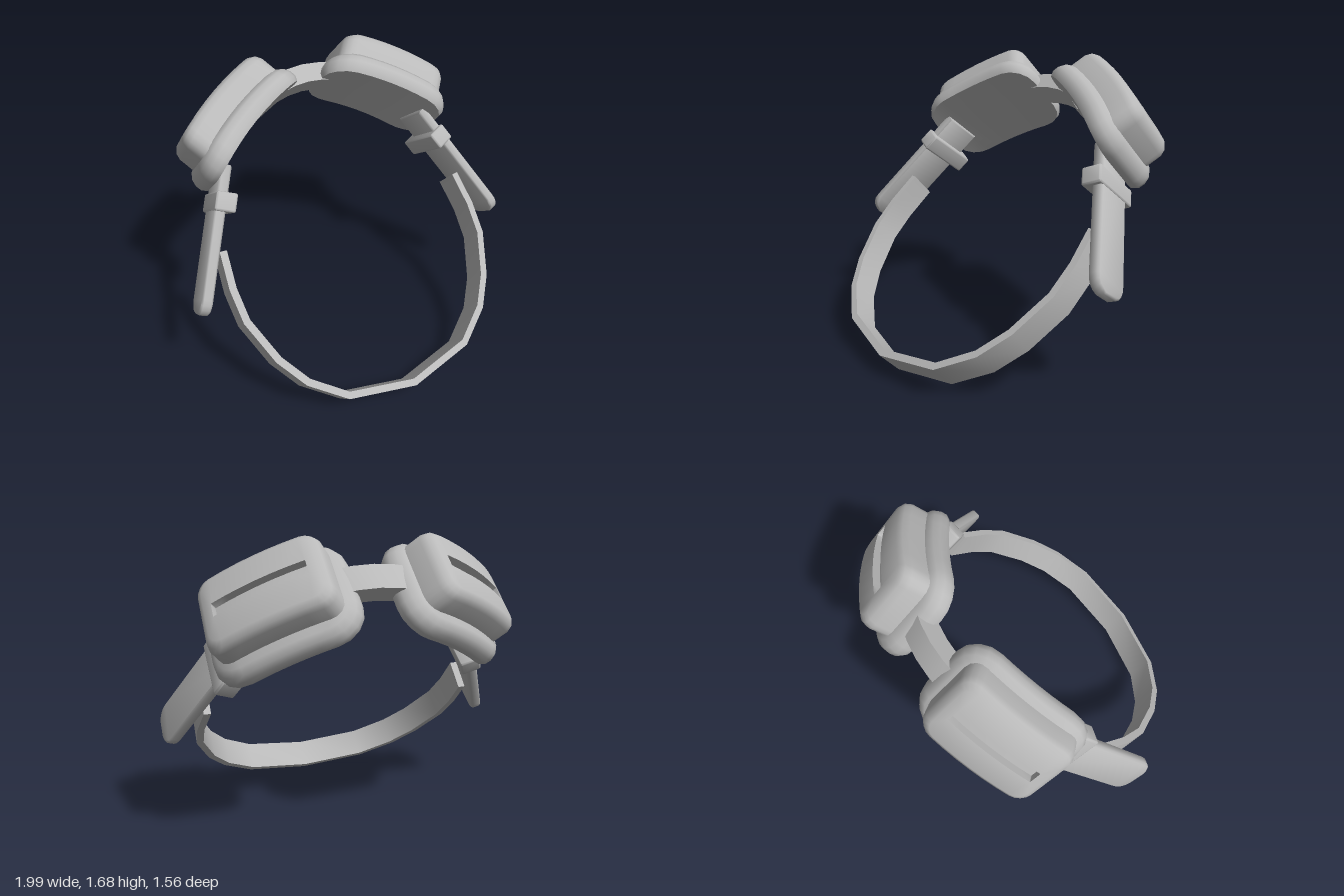
import * as THREE from 'three';
import { toCreasedNormals } from 'three/addons/utils/BufferGeometryUtils.js';
import { RoundedBoxGeometry } from 'three/addons/geometries/RoundedBoxGeometry.js';

const grey = new THREE.MeshStandardMaterial({ color: 0xbababa });
grey.name = 'grey';

const V = (x, y, z) => new THREE.Vector3(x, y, z);

// The headband lies in a tilted plane: x across, a towards the pods, b across the band's width.
const tilted = (x, a, b) => V(x, 0.68 * a + 0.73 * b, 0.68 * b - 0.73 * a);
// The pods lean a little further than the band.
const podTilted = (x, a, b) => V(x, 0.75 * a + 0.66 * b, 0.75 * b - 0.66 * a);

// Skin over a list of closed rings with equal point counts.
function loft(rings) {
  const m = rings[0].length, pos = [], index = [];
  rings.forEach(r => r.forEach(p => pos.push(p.x, p.y, p.z)));
  for (let i = 0; i < rings.length - 1; i++) {
    for (let j = 0; j < m; j++) {
      const k = (j + 1) % m, p = i * m + j, q = i * m + k;
      index.push(p, q, q + m, p, q + m, p + m);
    }
  }
  const g = new THREE.BufferGeometry();
  g.setAttribute('position', new THREE.Float32BufferAttribute(pos, 3));
  g.setIndex(index);
  return g;
}

// Mirrors to the -x side when asked, then sets smooth normals with sharp creases.
function makeMesh(name, geo, side = 1) {
  const g = geo.index ? geo.toNonIndexed() : geo;
  const clean = new THREE.BufferGeometry();
  clean.setAttribute('position', g.attributes.position.clone());
  if (side < 0) {
    const p = clean.attributes.position;
    for (let i = 0; i < p.count; i += 3) {
      const v = [0, 2, 1].map(k => new THREE.Vector3().fromBufferAttribute(p, i + k));
      v.forEach((q, k) => p.setXYZ(i + k, -q.x, q.y, q.z));
    }
  }
  const mesh = new THREE.Mesh(toCreasedNormals(clean, 0.9), grey);
  mesh.name = name;
  return mesh;
}

// Flat band swept along a path of [x, a] points.
function band(path, b, halfW, halfT) {
  const at = path.map(([x, a]) => new THREE.Vector2(x, a));
  const rings = at.map((p, i) => {
    const t = at[Math.min(i + 1, at.length - 1)].clone().sub(at[Math.max(i - 1, 0)]).normalize();
    return [[1, 1], [-1, 1], [-1, -1], [1, -1]].map(([w, o]) =>
      tilted(p.x + t.y * o * halfT, p.y - t.x * o * halfT, b + w * halfW));
  });
  const cap = r => {
    const c = V(0, 0, 0);
    r.forEach(p => c.addScaledVector(p, 0.25));
    return r.map(() => c.clone());
  };
  return loft([cap(rings[0]), ...rings, cap(rings[rings.length - 1])]);
}

// Rounded rectangle ring of a pod, bent around the headband.
function podRing([hw, hl, r, n]) {
  const pts = [], corner = (sx, sy, start) => {
    for (let i = 0; i <= 4; i++) {
      const t = start + i * Math.PI / 8;
      pts.push([sx * (hw - r) + r * Math.cos(t), sy * (hl - r) + r * Math.sin(t)]);
    }
  };
  const edge = s => {
    for (let i = 1; i < 6; i++) pts.push([s * hw, s * (hl - r) * (i / 3 - 1)]);
  };
  corner(1, -1, -Math.PI / 2); edge(1); corner(1, 1, 0);
  corner(-1, 1, Math.PI / 2); edge(-1); corner(-1, -1, Math.PI);
  return pts.map(([w, l]) => V(w, l, n - 0.3 * l * l));
}

function podPart(rings, b) {
  const W = podTilted(0, 0, 1), L = podTilted(0.83, -0.56, 0), N = podTilted(0.56, 0.83, 0);
  const m = new THREE.Matrix4().makeBasis(W, L, N);
  m.setPosition(podTilted(0.83 * -0.338, -0.56 * -0.338, b));
  return loft(rings.map(podRing)).applyMatrix4(m);
}

// Places a geometry in the slanted frame of the side flap (x up its length, y across it, z out).
function onFlap(geo, centre) {
  const D = V(-0.43, 0.74, -0.52).normalize();
  const W = V(0, 0.59, 0.81).normalize();
  const N = D.clone().cross(W).normalize();
  W.crossVectors(N, D);
  return geo.applyMatrix4(new THREE.Matrix4().makeBasis(D, W, N).setPosition(centre));
}

function flapGeometry() {
  const s = new THREE.Shape(), h = 0.115, len = 0.79;
  s.moveTo(len, -h);
  s.lineTo(len, h);
  s.lineTo(0.08, h);
  s.quadraticCurveTo(0.015, h, 0, 0.05);
  s.lineTo(0, -0.05);
  s.quadraticCurveTo(0.015, -h, 0.08, -h);
  const g = new THREE.ExtrudeGeometry(s, {
    depth: 0.04, bevelEnabled: true, bevelSize: 0.01, bevelThickness: 0.01, bevelSegments: 1, curveSegments: 4,
  });
  return g.translate(0, 0, -0.015);
}

export function createModel() {
  const model = new THREE.Group();
  model.name = 'headgear';

  // Rear headband loop
  const half = [[0.39, -0.395], [0.58, -0.24], [0.69, -0.07], [0.78, 0.18], [0.79, 0.37], [0.77, 0.58]];
  const loop = [...half.map(([x, a]) => [-x, a]).reverse(), [0, -0.48], ...half];
  model.add(makeMesh('headband', band(loop, 0.553, 0.085, 0.02)));

  // Bridge between the pods
  const bridge = [[-0.19, 1.365], [-0.1, 1.388], [0, 1.397], [0.1, 1.388], [0.19, 1.365]];
  model.add(makeMesh('bridge', band(bridge, 0.7, 0.07, 0.055)));

  for (const side of [1, -1]) {
    const name = side > 0 ? 'left' : 'right';

    // Cushioned pad
    model.add(makeMesh(name + 'Pad', podPart([
      [0, 0.28, 0, 1.26], [0.27, 0.375, 0.15, 1.26], [0.285, 0.39, 0.16, 1.29],
      [0.285, 0.39, 0.16, 1.325], [0.272, 0.377, 0.15, 1.36], [0.24, 0.345, 0.12, 1.385], [0, 0.25, 0, 1.385],
    ], 0.545), side));

    // Outer housing with a recessed slot
    model.add(makeMesh(name + 'Housing', podPart([
      [0, 0.2, 0, 1.34], [0.217, 0.332, 0.08, 1.34], [0.215, 0.33, 0.08, 1.475],
      [0.203, 0.318, 0.075, 1.508], [0.175, 0.29, 0.06, 1.528],
      [0.038, 0.245, 0.003, 1.53], [0.035, 0.242, 0.003, 1.49], [0, 0.22, 0, 1.49],
    ], 0.566), side));

    // Loose strap end and its keeper
    model.add(makeMesh(name + 'Flap', onFlap(flapGeometry(), V(0.965, 0.59, 0.125)), side));
    model.add(makeMesh(name + 'Buckle',
      onFlap(new RoundedBoxGeometry(0.105, 0.335, 0.115, 2, 0.012), V(0.692, 1.02, -0.195)), side));
  }
  return model;
}
